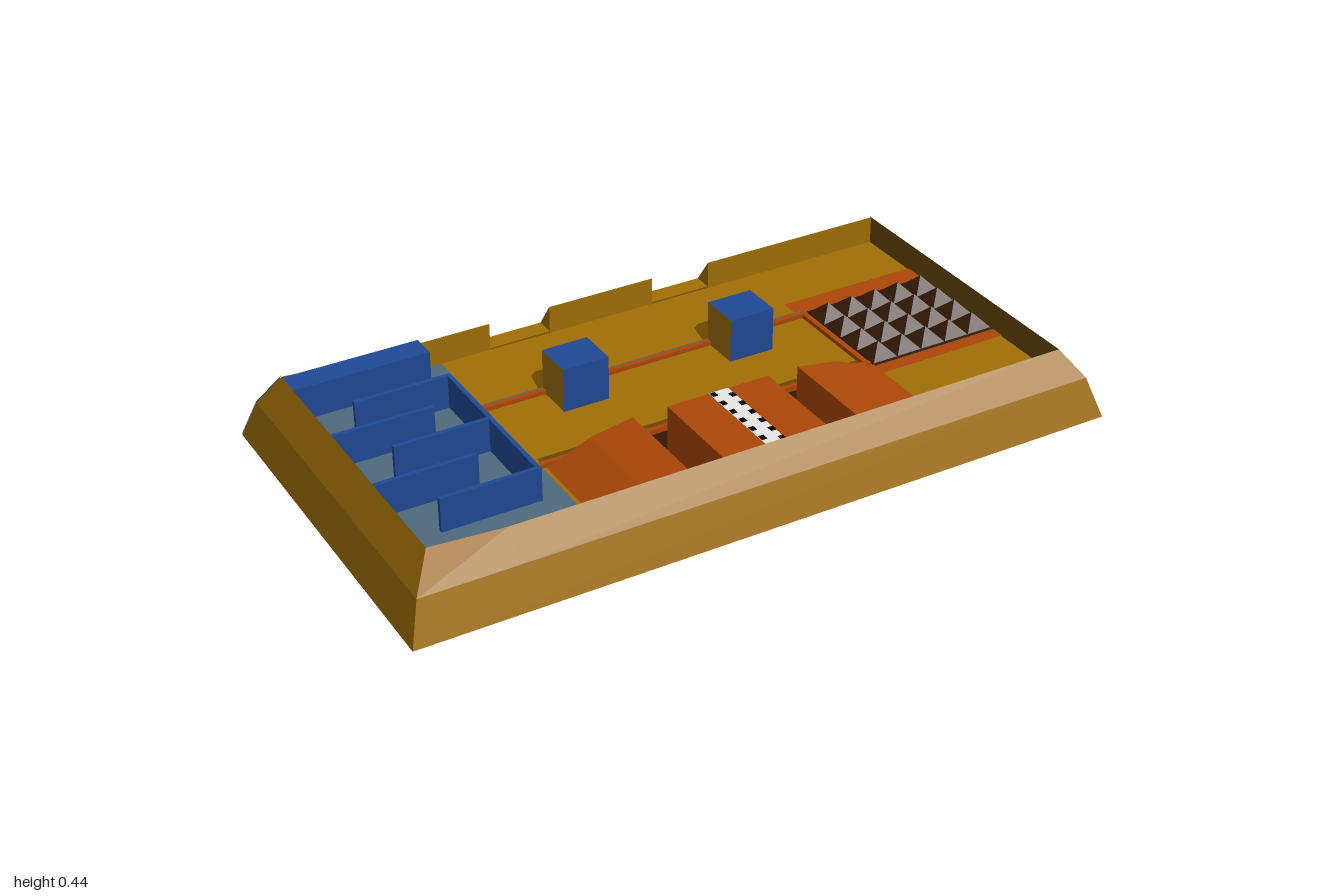
import * as THREE from 'three';

export function createModel() {
  const root = new THREE.Group();
  const mat = (name, color) => {
    const m = new THREE.MeshStandardMaterial({ color, flatShading: true, side: THREE.DoubleSide });
    m.name = name;
    return m;
  };
  const gold = mat('gold', 0xa07005), darkGold = mat('dark gold', 0x694803), orange = mat('orange', 0xac4708);
  const slate = mat('slate blue', 0x506b7d), blue = mat('blue', 0x204a96), brown = mat('brown', 0x381c06);
  const white = mat('white', 0xffffff), black = mat('black', 0x060606), grey = mat('grey', 0x989898);

  const add = (name, geo, m, parent = root) => {
    const mesh = new THREE.Mesh(geo, m);
    mesh.name = name;
    parent.add(mesh);
    return mesh;
  };
  // Box from its extents
  const box = (name, m, x0, x1, y0, y1, z0, z1, parent) => {
    const mesh = add(name, new THREE.BoxGeometry(x1 - x0, y1 - y0, z1 - z0), m, parent);
    mesh.position.set((x0 + x1) / 2, (y0 + y1) / 2, (z0 + z1) / 2);
    return mesh;
  };
  // Polygons (3 or 4 corners each) merged into one surface
  const faces = (name, m, polys, parent) => {
    const p = [];
    for (const q of polys) for (let i = 2; i < q.length; i++) p.push(...q[0], ...q[i - 1], ...q[i]);
    const g = new THREE.BufferGeometry();
    g.setAttribute('position', new THREE.Float32BufferAttribute(p, 3));
    g.computeVertexNormals();
    return add(name, g, m, parent);
  };
  const shapeOf = pts => new THREE.Shape(pts.map(p => new THREE.Vector2(p[0], p[1])));

  const FLOOR = 0.32, IX = 0.91, IZ = 0.435;

  // Floor sheets, with openings where the jump gaps drop through
  const sheet = (name, m, x0, x1, z0, z1, y = FLOOR, parent = root) =>
    faces(name, m, [[[x0, y, z1], [x1, y, z1], [x1, y, z0], [x0, y, z0]]], parent);
  sheet('leftFloor', slate, -IX, -0.465, -IZ, IZ);
  sheet('mainFloor', gold, -0.465, IX, -IZ, 0.15);
  sheet('cornerFloor', gold, 0.28, IX, 0.15, IZ);
  sheet('rampFloor', gold, -0.465, -0.21, 0.15, IZ);

  // Outer rim: two sloped bands and upright inner faces
  const notches = [[-0.32, -0.14], [0.18, 0.36]];
  const topY = x => (x < -0.7 ? 0.4 + 0.015 * (-0.7 - x) / 0.21 : 0.4);
  const rim = [], endInner = [];
  const inner = (a, b, z) => [[a, topY(a), z], [b, topY(b), z], [b, FLOOR, z], [a, FLOOR, z]];
  for (const s of [-1, 1]) {
    rim.push([[-1, 0.215, 0.53 * s], [1, 0.215, 0.53 * s], [0.965, 0.325, 0.49 * s], [-0.965, 0.325, 0.49 * s]]);
    rim.push([[s, 0.215, -0.53], [s, 0.215, 0.53], [0.965 * s, 0.325, 0.49], [0.965 * s, 0.325, -0.49]]);
    const t = topY(IX * s);
    rim.push([[0.965 * s, 0.325, -0.49], [0.965 * s, 0.325, 0.49], [IX * s, t, IZ], [IX * s, t, -IZ]]);
    endInner.push([[IX * s, t, -IZ], [IX * s, t, IZ], [IX * s, FLOOR, IZ], [IX * s, FLOOR, -IZ]]);
    // Long sides; the back one is interrupted by the notches
    const cuts = s > 0 ? [-IX, -0.7, IX] : [-IX, -0.7, ...notches.flat(), IX];
    for (let i = 1; i < cuts.length; i++) {
      const a = cuts[i - 1], b = cuts[i];
      if (notches.some(n => n[0] === a && n[1] === b)) continue;
      const oa = a === -IX ? -0.965 : a, ob = b === IX ? 0.965 : b;
      rim.push([[oa, 0.325, 0.49 * s], [ob, 0.325, 0.49 * s], [b, topY(b), IZ * s], [a, topY(a), IZ * s]]);
      if (s < 0) rim.push(inner(a, b, -IZ));
    }
  }
  for (const [a, b] of notches) {
    rim.push([[a, 0.325, -0.49], [a, 0.325, -IZ], [b, 0.325, -IZ], [b, 0.325, -0.49]]);
    for (const x of [a, b]) rim.push([[x, 0.325, -0.49], [x, 0.4, -IZ], [x, 0.325, -IZ]]);
  }
  faces('outerRim', gold, rim);
  faces('endInnerWalls', darkGold, endInner);
  faces('frontInnerWallLeft', slate, [inner(-IX, -0.7, IZ), inner(-0.7, -0.1, IZ)]);
  faces('frontInnerWallMiddle', orange, [inner(-0.1, 0.67, IZ)]);
  faces('frontInnerWallRight', brown, [inner(0.67, IX, IZ)]);

  // Painted patches on the back slope, running over the bend
  const slope = (t, x) => [x, 0.217 + 0.11 * t, -0.533 + 0.04 * t];
  const upper = (t, x) => [x, 0.327 + 0.075 * t, -0.493 + 0.055 * t];
  for (const [a, b, top] of [[0.05, 0.155, 0.25], [0.64, 0.775, 0.35]])
    faces('backPatch', black, [
      [slope(0.15, b), slope(0.15, a), slope(1, a), slope(1, b)],
      [slope(1, b), slope(1, a), upper(top, a), upper(top, b)]]);
  for (const s of [-1, 1])
    faces('cornerPatch', slate, [
      [slope(0, s), slope(0, 0.955 * s), slope(1, 0.92 * s), slope(1, 0.965 * s)],
      [slope(1, 0.965 * s), slope(1, 0.92 * s), [0.91 * s, topY(IX * s) + 0.002, -0.438]]]);

  // Comb-shaped maze
  const maze = new THREE.Group();
  maze.name = 'maze';
  root.add(maze);
  box('mazeBlock', blue, -IX, -0.53, FLOOR, 0.415, -0.43, -0.357, maze);
  box('mazeSpine', blue, -0.542, -0.53, FLOOR, 0.415, -0.235, 0.275, maze);
  [-0.23, -0.112, 0.008, 0.138, 0.268].forEach((z, i) => {
    const x0 = i % 2 ? -IX : -0.8, x1 = i % 2 ? -0.635 : -0.53;
    box('mazeWall', blue, x0, x1, FLOOR, 0.415, z - 0.006, z + 0.006, maze);
  });

  // Two obstacle cubes with painted patches behind
  for (const x of [-0.23, 0.27]) {
    box('cube', [blue, gold, blue, blue, blue, gold], x - 0.066, x + 0.066, FLOOR, 0.445, -0.174, -0.057);
    const patch = add('cubePatch', new THREE.ShapeGeometry(shapeOf([
      [-0.075, 0.18], [-0.06, 0.255], [-0.04, 0.27], [0.04, 0.27], [0.06, 0.255], [0.07, 0.18]])), darkGold);
    patch.rotation.x = -Math.PI / 2;
    patch.position.set(x, FLOOR + 0.003, 0);
  }
  sheet('backBand', darkGold, -0.46, 0.5, -0.19, -0.175, FLOOR + 0.003);
  sheet('middleBand', darkGold, -0.46, 0.5, 0.108, 0.14, FLOOR + 0.003);
  sheet('cornerBand', darkGold, 0.52, IX, 0.38, IZ, FLOOR + 0.003);

  // Thin rail frame, with skirts running under the floor
  const frame = new THREE.Group();
  frame.name = 'railFrame';
  root.add(frame);
  for (const z of [-0.165, 0.143]) box('longRail', orange, -0.53, 0.515, 0.26, 0.332, z - 0.007, z + 0.007, frame);
  for (const x of [-0.522, 0.505]) box('shortRail', orange, x - 0.008, x + 0.008, 0.26, 0.332, -0.172, 0.15, frame);
  box('railSkirtBack', slate, -0.53, 0.515, 0.25, 0.331, -0.177, -0.172, frame);
  box('railSkirtFront', grey, -0.4, 0.49, 0.262, 0.318, 0.131, 0.135, frame);

  // Spike pit: orange surround, deep box and rows of pyramids
  sheet('spikeBorderBack', orange, 0.49, IX, -0.24, -0.17, FLOOR + 0.004);
  sheet('spikeBorderFront', orange, 0.51, IX, 0.15, 0.2, FLOOR + 0.004);
  box('pitBox', [brown, brown, brown, brown, slate, slate], 0.523, IX, 0, FLOOR + 0.005, -0.175, 0.16);
  const spikes = new THREE.Group();
  spikes.name = 'spikes';
  root.add(spikes);
  const cone = new THREE.ConeGeometry(Math.SQRT1_2, 1, 4).rotateY(Math.PI / 4);
  for (let i = 0; i < 5; i++) for (let j = 0; j < 4; j++) {
    const spike = add('spike', cone, brown, spikes);
    spike.scale.set(0.077, 0.04, 0.08);
    spike.position.set(0.562 + i * 0.077, FLOOR + 0.024, -0.13 + j * 0.08);
  }
  // Painted shapes on the pit's outer end, as (z, y) corners
  const endPaint = (name, m, pts, lift = 0.003) =>
    faces(name, m, [pts.map(([z, y]) => [IX + lift, y, z])]);
  endPaint('pitStripe', grey, [[0.05, 0.215], [-0.025, 0.215], [-0.175, 0.085], [-0.175, 0.04]]);
  endPaint('pitCorner', gold, [[-0.025, 0.215], [-0.175, 0.215], [-0.175, 0.085]]);
  endPaint('pitCornerLine', darkGold, [[-0.05, 0.215], [-0.1, 0.215], [-0.175, 0.155], [-0.175, 0.12]], 0.005);
  endPaint('pitBlueCorner', blue, [[0.16, 0], [0.13, 0], [0.16, 0.025]]);

  // Jump course: up-ramp, middle platform, down-ramp
  const jump = new THREE.Group();
  jump.name = 'jumpCourse';
  root.add(jump);
  const hump = (name, pts) => {
    const g = new THREE.ExtrudeGeometry(shapeOf(pts), { depth: 0.284, bevelEnabled: false });
    add(name, g, orange, jump).position.z = 0.151;
  };
  hump('upRamp', [[-0.455, 0.32], [-0.33, 0.37], [-0.21, 0.39], [-0.21, 0.216], [-0.248, 0.216], [-0.248, 0.32]]);
  hump('platform', [[-0.11, 0.216], [-0.11, 0.39], [0.19, 0.39], [0.19, 0.216]]);
  hump('downRamp', [[0.28, 0.216], [0.28, 0.39], [0.4, 0.37], [0.525, 0.32], [0.333, 0.32], [0.333, 0.216]]);
  box('jumpTray', [brown, brown, white, white, brown, brown], -0.25, 0.335, 0.185, 0.215, 0.15, 0.445, jump);
  box('traySideBack', brown, -0.25, 0.335, 0.2, 0.318, 0.146, 0.151, jump);
  box('traySideFront', brown, -0.25, 0.335, 0.2, 0.318, 0.436, 0.441, jump);

  // Chequered line across the platform
  sheet('finishLine', white, 0.01, 0.068, 0.152, 0.434, 0.392, jump);
  for (let j = 0; j < 12; j++) {
    const x = j % 2 ? 0.052 : 0.01, z = 0.156 + j * 0.0233;
    sheet('finishCheck', black, x, x + 0.016, z, z + 0.02, 0.394, jump);
  }
  return root;
}
